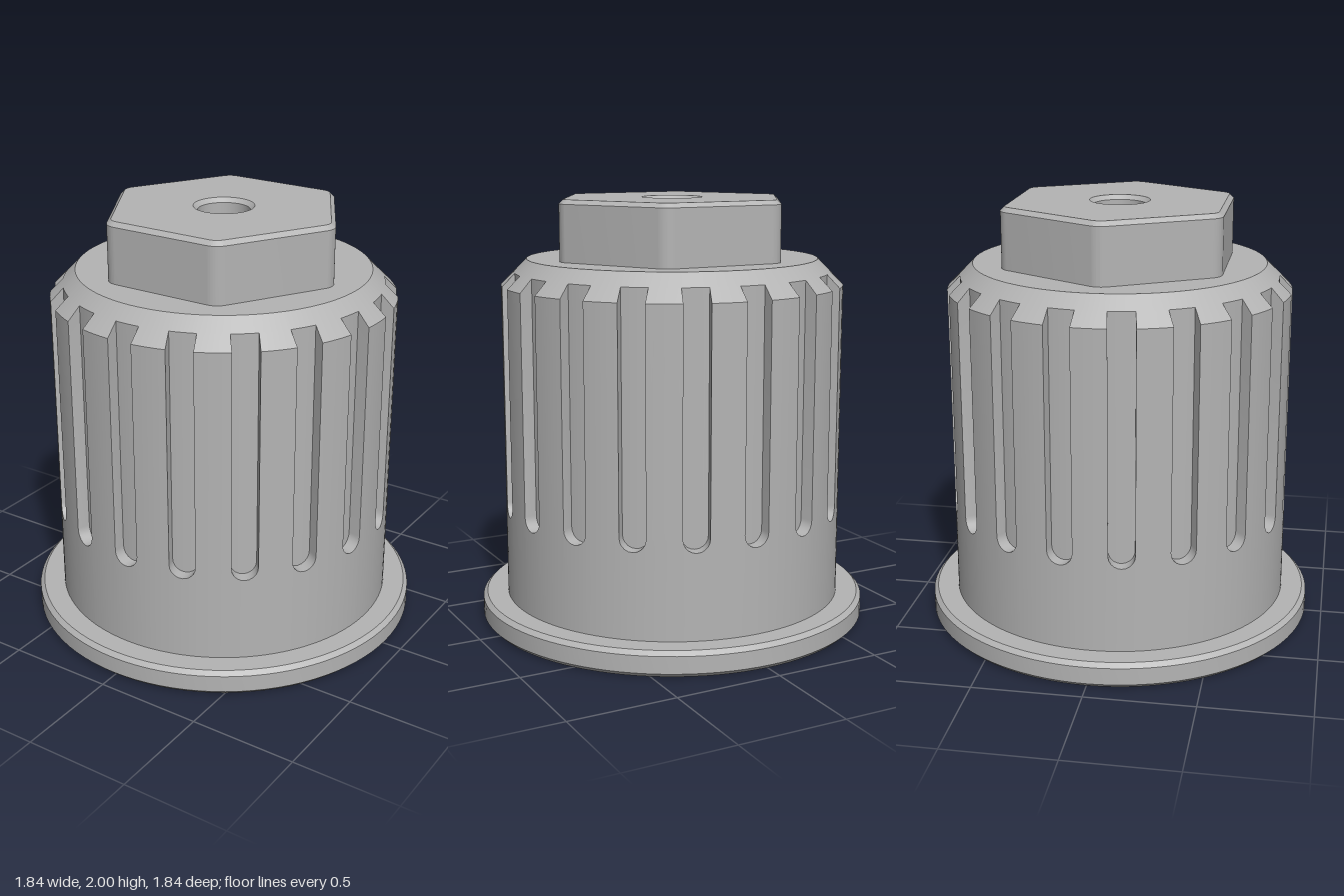
import * as THREE from 'three';
import { toCreasedNormals } from 'three/addons/utils/BufferGeometryUtils.js';

const CREASE = 0.55;
const SLOTS = 18, PITCH = (Math.PI * 2) / SLOTS, HALF = 0.06;

// Fluted sleeve: profile columns walked around the axis, 16 per slot pitch
function flutedSleeve() {
  const columns = [];
  for (let s = 0; s < SLOTS; s++) {
    const place = (profile, angleAt) => columns.push(profile.map(([r, y]) => {
      const a = s * PITCH + angleAt(r);
      return [r * Math.sin(a), y, r * Math.cos(a)];
    }));
    // slot columns, with a round lower end and parallel walls
    for (let i = 0; i <= 10; i++) {
      const t = (Math.PI * i) / 10;
      const x = -HALF * Math.cos(t), y = 0.58 - HALF * Math.sin(t);
      place([[0.8, 0.12], [0.8, y], [0.74, y], [0.74, 1.66], [0.68, 1.72], [0.4, 1.72]],
        (r) => Math.asin(x / r));
    }
    // rib columns between this slot and the next
    for (let i = 0; i <= 4; i++) {
      place([[0.8, 0.12], [0.8, 0.58], [0.8, 1.6], [0.74, 1.66], [0.68, 1.72], [0.4, 1.72]],
        (r) => {
          const edge = Math.asin(HALF / r);
          return edge + (PITCH - 2 * edge) * (i / 4);
        });
    }
  }
  const rows = columns[0].length, index = [];
  columns.forEach((_, i) => {
    const a = i * rows, b = ((i + 1) % columns.length) * rows;
    for (let j = 0; j < rows - 1; j++) {
      index.push(a + j, b + j, b + j + 1, a + j, b + j + 1, a + j + 1);
    }
  });
  const geo = new THREE.BufferGeometry();
  geo.setAttribute('position', new THREE.Float32BufferAttribute(columns.flat(2), 3));
  geo.setIndex(index);
  return toCreasedNormals(geo, CREASE);
}

// Flange and hollow inside, one turned profile
function flangeAndBore() {
  const profile = [
    [0.12, 1.64], [0.12, 1.4], [0.51, 1.4], [0.51, 0.02], [0.53, 0],
    [0.9, 0], [0.92, 0.02], [0.92, 0.1], [0.9, 0.12], [0.79, 0.12],
  ].map(([r, y]) => new THREE.Vector2(r, y));
  return toCreasedNormals(new THREE.LatheGeometry(profile, 96), CREASE);
}

// Hexagonal head with rounded corners, bevelled rim and centre hole
function hexHead() {
  const corner = 0.08, reach = (0.5 - corner) / Math.cos(Math.PI / 6);
  const shape = new THREE.Shape();
  for (let k = 0; k < 6; k++) {
    const a = (k * Math.PI) / 3;
    shape.absarc(reach * Math.cos(a), reach * Math.sin(a), corner, a - Math.PI / 6, a + Math.PI / 6, false);
  }
  const hole = new THREE.Path();
  hole.absarc(0, 0, 0.12, 0, Math.PI * 2, true);
  shape.holes.push(hole);
  const geo = new THREE.ExtrudeGeometry(shape, {
    depth: 0.34, curveSegments: 16,
    bevelSize: 0.02, bevelThickness: 0.02, bevelOffset: -0.02, bevelSegments: 1,
  });
  geo.rotateX(-Math.PI / 2).translate(0, 1.64, 0);
  return toCreasedNormals(geo, CREASE);
}

export function createModel() {
  const grey = new THREE.MeshStandardMaterial({ color: 0xb4b4b4 });
  grey.name = 'plain grey';
  const model = new THREE.Group();
  model.name = 'flutedHexKnob';
  const add = (name, geometry) => {
    const mesh = new THREE.Mesh(geometry, grey);
    mesh.name = name;
    model.add(mesh);
  };
  add('flutedSleeve', flutedSleeve());
  add('flangeAndBore', flangeAndBore());
  add('hexHead', hexHead());
  return model;
}
